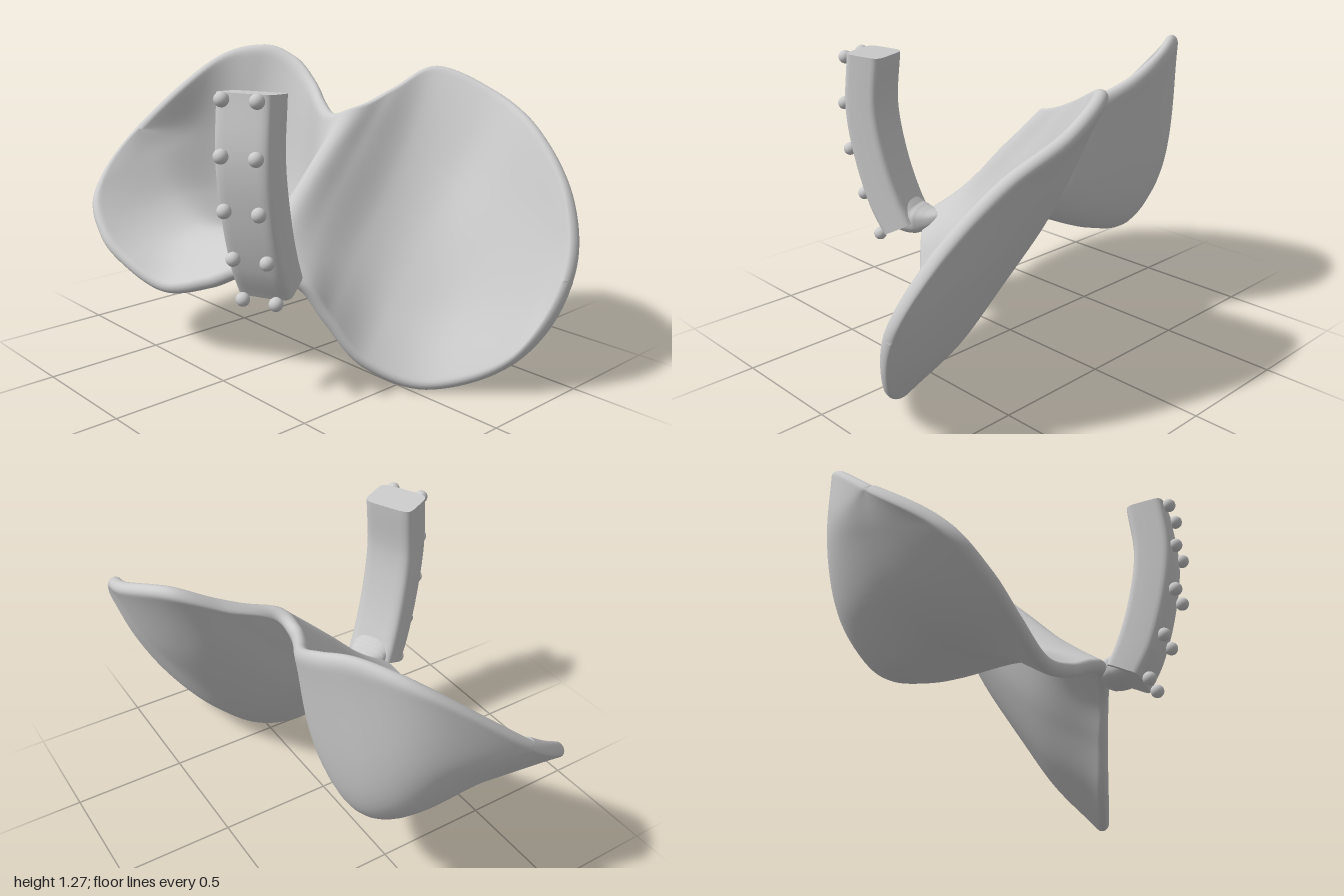
import * as THREE from 'three';
import { mergeVertices } from 'three/addons/utils/BufferGeometryUtils.js';

const V = (x, y, z) => new THREE.Vector3(x, y, z);
const material = new THREE.MeshStandardMaterial({ color: 0xcccccc, side: THREE.DoubleSide });

// Skin over a list of rows holding equal numbers of points
function loft(rows, weld = true) {
  const n = rows[0].length, index = [];
  for (let i = 0; i < rows.length - 1; i++) {
    for (let j = 0; j < n - 1; j++) {
      const a = i * n + j, b = a + n;
      index.push(a, a + 1, b, a + 1, b + 1, b);
    }
  }
  let geometry = new THREE.BufferGeometry().setFromPoints(rows.flat());
  geometry.setIndex(index);
  if (weld) geometry = mergeVertices(geometry, 1e-4);
  geometry.computeVertexNormals();
  return geometry;
}

function part(name, geometry) {
  const mesh = new THREE.Mesh(geometry, material);
  mesh.name = name;
  return mesh;
}

// Twin-lobed sheet: stations run from the front tip to the back tip, each
// crossing from the upper rim over two inner points to the lower rim
function lobedSheet() {
  const frontTip = V(0.42, 0.46, 1.0), backTip = V(-0.26, 0.87, -0.99);
  const stations = [
    [V(0.55, 0.75, 0.90), V(0.485, 0.55, 0.87), V(0.38, 0.33, 0.87), V(0.26, 0.14, 0.885)],
    [V(0.64, 0.98, 0.67), V(0.51, 0.66, 0.58), V(0.29, 0.28, 0.56), V(0.05, 0.00, 0.63)],
    [V(0.69, 1.11, 0.40), V(0.49, 0.73, 0.34), V(0.16, 0.32, 0.35), V(-0.12, 0.08, 0.43)],
    [V(0.61, 1.20, 0.13), V(0.37, 0.81, 0.155), V(0.05, 0.46, 0.20), V(-0.22, 0.26, 0.32)],
    [V(0.41, 1.11, 0.05), V(0.17, 0.85, 0.07), V(-0.10, 0.57, 0.12), V(-0.29, 0.40, 0.25)],
    [V(0.23, 1.04, 0.01), V(0.00, 0.82, 0.02), V(-0.20, 0.62, 0.05), V(-0.39, 0.46, 0.12)],
    [V(0.19, 1.01, -0.08), V(0.06, 0.67, -0.09), V(-0.20, 0.54, -0.06), V(-0.43, 0.43, 0.00)],
    [V(0.24, 1.05, -0.21), V(0.14, 0.55, -0.23), V(-0.22, 0.49, -0.20), V(-0.46, 0.35, -0.16)],
    [V(0.32, 1.12, -0.36), V(0.18, 0.47, -0.41), V(-0.22, 0.46, -0.40), V(-0.53, 0.29, -0.38)],
    [V(0.35, 1.21, -0.52), V(0.19, 0.46, -0.59), V(-0.20, 0.46, -0.59), V(-0.59, 0.37, -0.58)],
    [V(0.29, 1.26, -0.69), V(0.17, 0.62, -0.77), V(-0.21, 0.56, -0.77), V(-0.61, 0.48, -0.74)],
    [V(0.12, 1.18, -0.88), V(0.04, 0.85, -0.91), V(-0.22, 0.74, -0.91), V(-0.54, 0.64, -0.89)],
  ];
  const line = (k) => stations.map((s) => s[k]);
  const spline = (points, closed = false) =>
    new THREE.CatmullRomCurve3(points, closed, 'catmullrom', 0.5);
  const rim = spline([frontTip, ...line(0), backTip, ...line(3).reverse()], true);
  const innerUpper = spline([frontTip, ...line(1), backTip]);
  const innerLower = spline([frontTip, ...line(2), backTip]);

  // Middle surface
  const NU = 150, NV = 56, T = 0.029, rows = [], thick = [];
  for (let i = 0; i <= NU; i++) {
    const u = (1 - Math.cos((Math.PI * i) / NU)) / 2;
    const r = rim.getPoint(u / 2), l = rim.getPoint((1 - u / 2) % 1);
    const section = spline([l, innerLower.getPoint(u), innerUpper.getPoint(u), r]);
    const half = r.distanceTo(l) / 2, row = [], t = [];
    for (let j = 0; j <= NV; j++) {
      const v = Math.sin((j / NV - 0.5) * Math.PI);
      row.push(section.getPoint((v + 1) / 2));
      const e = 1 - Math.min((half * (1 - Math.abs(v))) / T, 1);
      t.push(T * Math.sqrt(1 - e * e));
    }
    rows.push(row);
    thick.push(t);
  }

  // Thicken to both sides, rounding off at the rim
  const normals = loft(rows, false).attributes.normal;
  const shell = rows.map((row, i) => {
    const side = (s) => row.map((p, j) => {
      const n = V().fromBufferAttribute(normals, i * (NV + 1) + j);
      return p.clone().addScaledVector(n, s * thick[i][j]);
    });
    return [...side(1), ...side(-1).reverse()];
  });
  return part('lobedSheet', loft(shell));
}

// Stalk plane: r runs outwards from the neck, w across the stalk
const out = V(-0.91, 0, 0.41), across = V(0.41, 0, 0.91);
const onStalk = (r, y, w = 0) =>
  V(-0.33, y, 0.18).addScaledVector(out, r).addScaledVector(across, w);

// Bar with a rounded section along a path; size(u) gives half height and
// half width, corner runs from square (0) to elliptic (1)
function bar(name, points, corner, size) {
  const path = new THREE.CatmullRomCurve3(points.map(([r, y]) => onStalk(r, y)));
  const soft = (x) => Math.sign(x) * Math.abs(x) ** corner;
  const rows = [], N = 40, K = 32;
  for (let i = 0; i <= N; i++) {
    const c = path.getPoint(i / N), [h, w] = size(i / N), row = [];
    const n = across.clone().cross(path.getTangent(i / N)).normalize();
    for (let k = 0; k <= K; k++) {
      const a = (k / K) * Math.PI * 2;
      row.push(c.clone().addScaledVector(n, h * soft(Math.cos(a)))
        .addScaledVector(across, w * soft(Math.sin(a))));
    }
    rows.push(row);
  }
  const group = new THREE.Group();
  group.name = name;
  const flat = (row, u) => row.map(() => path.getPoint(u));
  group.add(part(name + 'Side', loft(rows)));
  group.add(part(name + 'Start', loft([flat(rows[0], 0), rows[0]])));
  group.add(part(name + 'End', loft([rows[N], flat(rows[N], 1)])));
  return group;
}

// Upright curved stalk, and the pinched neck joining it to the sheet
function stalk() {
  const group = new THREE.Group();
  group.name = 'stalk';
  group.add(bar('stalkBar',
    [[0.105, 0.45], [0.16, 0.56], [0.22, 0.75], [0.255, 0.97], [0.235, 1.205]], 0.35,
    (u) => [0.077 + 0.005 * Math.min(u * 4, 1), 0.115]));
  group.add(bar('neck', [[-0.07, 0.505], [0.0, 0.485], [0.07, 0.485], [0.15, 0.53]], 0.7,
    (u) => {
      const dome = Math.sqrt(Math.min(0.01 + u * 2, 1));
      return [dome * (0.05 + 0.03 * u * u), dome * (0.085 + 0.025 * u * u)];
    }));
  return group;
}

// Pairs of knobs along the outer face of the stalk
function knobs() {
  const group = new THREE.Group();
  group.name = 'knobs';
  const ball = new THREE.SphereGeometry(0.028, 20, 14);
  for (const [r, y] of [[0.335, 1.19], [0.35, 0.99], [0.335, 0.787], [0.275, 0.59], [0.205, 0.41]]) {
    for (const w of [-0.07, 0.07]) {
      const knob = part('knob', ball);
      knob.position.copy(onStalk(r, y, w));
      group.add(knob);
    }
  }
  return group;
}

export function createModel() {
  const model = new THREE.Group();
  model.name = 'model';
  model.add(lobedSheet(), stalk(), knobs());
  return model;
}
